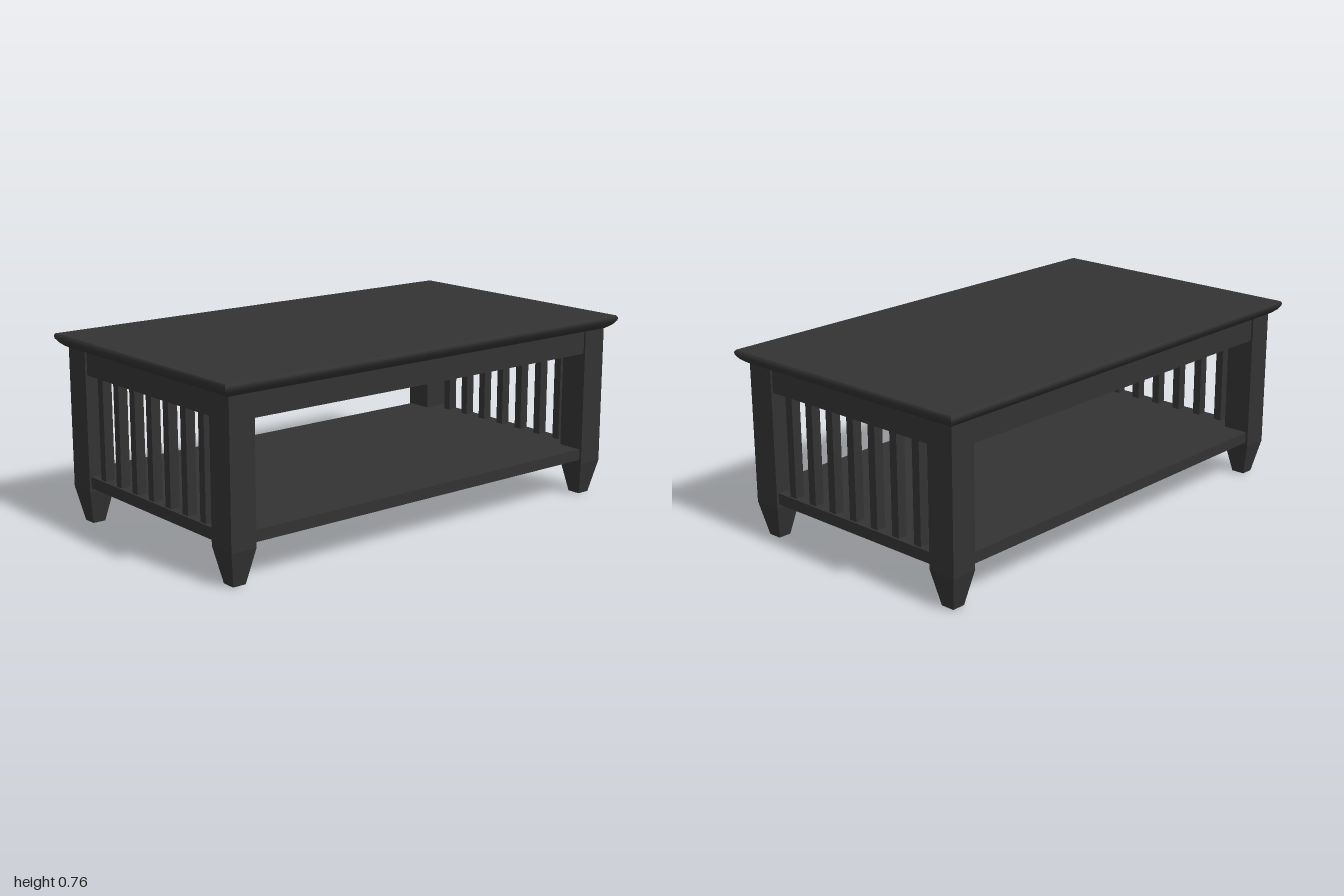
import * as THREE from 'three';

export function createModel() {
  const table = new THREE.Group();
  table.name = 'coffeeTable';
  const wood = new THREE.MeshStandardMaterial({ color: 0x333333 });
  wood.name = 'blackWood';

  const add = (geometry, name, x, y, z) => {
    const mesh = new THREE.Mesh(geometry, wood);
    mesh.name = name;
    mesh.position.set(x, y, z);
    table.add(mesh);
    return mesh;
  };
  // Box given by its size, its bottom height and its centre in plan
  const box = (name, w, h, d, x, bottom, z) =>
    add(new THREE.BoxGeometry(w, h, d), name, x, bottom + h / 2, z);

  // Table top: a slab whose layers step inwards to make the moulded edge
  const layers = [[0.71, 0.04], [0.718, 0.027], [0.73, 0.013], [0.745, 0.002], [0.757, 0], [0.765, 0.006]];
  const slab = new THREE.BoxGeometry(2, 1, 1.16, 1, layers.length - 1, 1);
  const p = slab.attributes.position;
  for (let i = 0; i < p.count; i++) {
    const [y, inset] = layers[Math.round((p.getY(i) + 0.5) * (layers.length - 1))];
    p.setXYZ(i, Math.sign(p.getX(i)) * (1 - inset), y, Math.sign(p.getZ(i)) * (0.58 - inset));
  }
  slab.computeVertexNormals();
  add(slab, 'tableTop', 0, 0, 0);

  // Legs: square posts with tapered feet
  const foot = new THREE.BoxGeometry(0.11, 0.14, 0.12);
  const f = foot.attributes.position;
  for (let i = 0; i < f.count; i++) {
    if (f.getY(i) < 0) f.setXYZ(i, f.getX(i) * 0.5, f.getY(i), f.getZ(i) * 0.48);
  }
  foot.computeVertexNormals();
  for (const sx of [-1, 1]) {
    for (const sz of [-1, 1]) {
      box('legPost', 0.11, 0.572, 0.12, sx * 0.903, 0.14, sz * 0.48);
      add(foot, 'legFoot', sx * 0.903, 0.07, sz * 0.48);
    }
  }

  // Long aprons under the top, front and back
  for (const sz of [-1, 1]) box('longApron', 1.7, 0.097, 0.05, 0, 0.615, sz * 0.507);

  // Lower shelf
  box('shelf', 1.7, 0.046, 1.06, 0, 0.157, 0);

  // Slatted ends: apron, bottom rail and seven slats
  for (const sx of [-1, 1]) {
    box('sideApron', 0.05, 0.097, 0.85, sx * 0.925, 0.615, 0);
    box('sideRail', 0.105, 0.046, 0.85, sx * 0.897, 0.157, 0);
    for (let i = -3; i <= 3; i++) {
      box('slat', 0.04, 0.42, 0.035, sx * 0.92, 0.2, i * 0.114);
    }
  }
  return table;
}
